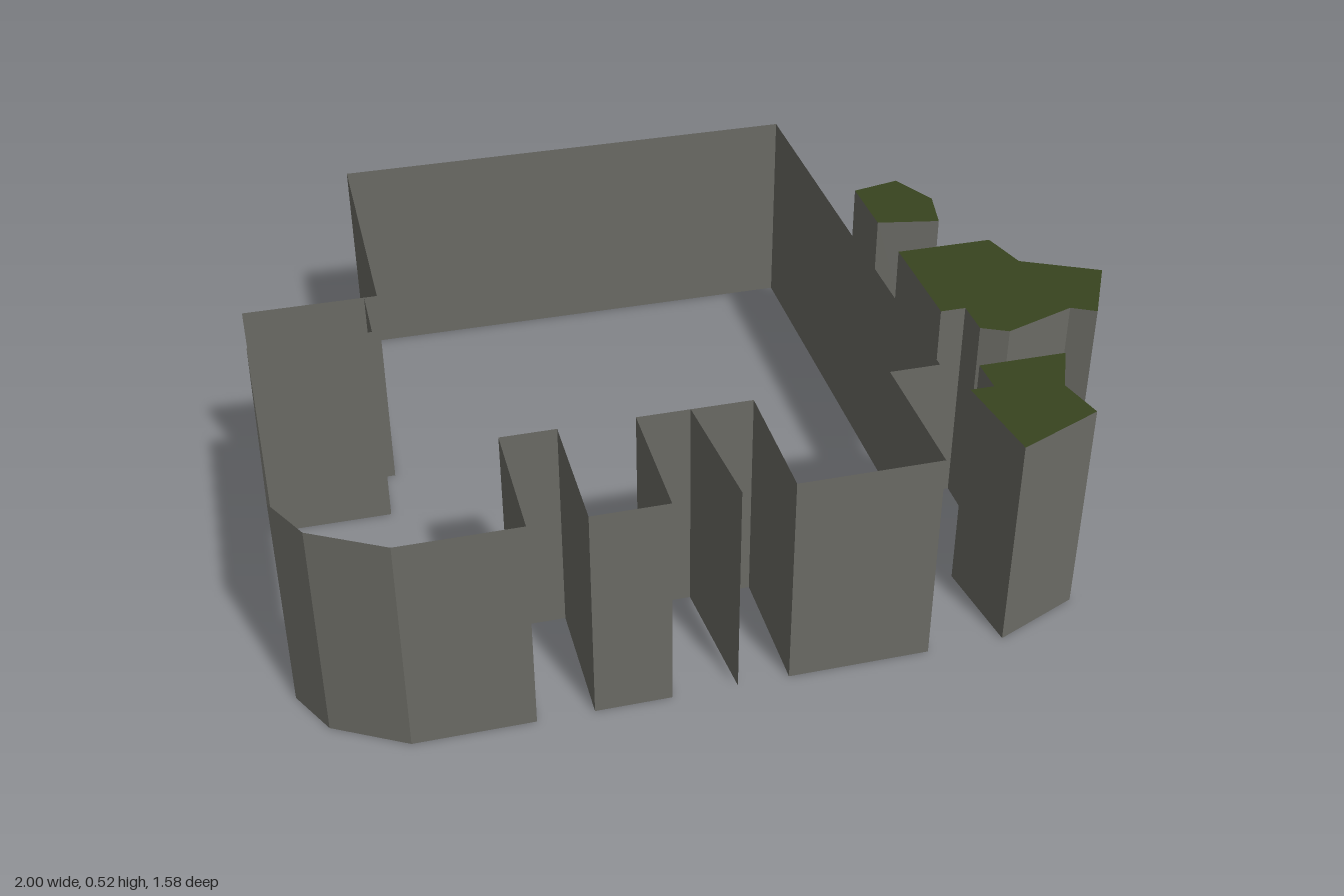
import * as THREE from 'three';

const HEIGHT = 0.52;

// Thin upright walls following a ground plan of [x, z] points
function wallGeometry(points, closed) {
  const plan = closed ? [...points, points[0]] : points;
  const positions = [];
  for (let i = 0; i < plan.length - 1; i++) {
    const [ax, az] = plan[i];
    const [bx, bz] = plan[i + 1];
    positions.push(ax, 0, az, bx, 0, bz, bx, HEIGHT, bz);
    positions.push(ax, 0, az, bx, HEIGHT, bz, ax, HEIGHT, az);
  }
  const geometry = new THREE.BufferGeometry();
  geometry.setAttribute('position', new THREE.Float32BufferAttribute(positions, 3));
  geometry.computeVertexNormals();
  return geometry;
}

// Flat, upward-facing top for a closed plan
function topGeometry(points) {
  const shape = new THREE.Shape(points.map(([x, z]) => new THREE.Vector2(x, -z)));
  const geometry = new THREE.ShapeGeometry(shape);
  geometry.rotateX(-Math.PI / 2);
  geometry.translate(0, HEIGHT, 0);
  return geometry;
}

export function createModel() {
  const model = new THREE.Group();
  model.name = 'building';
  const stone = new THREE.MeshStandardMaterial({ color: 0x6a6a64, side: THREE.DoubleSide });
  stone.name = 'grey stone';
  const moss = new THREE.MeshStandardMaterial({ color: 0x38441f });
  moss.name = 'dark green';

  const add = (parent, name, geometry, material) => {
    const mesh = new THREE.Mesh(geometry, material);
    mesh.name = name;
    parent.add(mesh);
  };

  // Main wall: straight back and sides, niches along the front, rounded right corner
  add(model, 'mainWall', wallGeometry([
    [-0.72, -0.155], [-0.72, 0], [-1, 0], [-1, 0.59], [-0.94, 0.70], [-0.78, 0.79],
    [-0.515, 0.79], [-0.515, 0.48], [-0.39, 0.48], [-0.39, 0.79], [-0.22, 0.79],
    [-0.22, 0.48], [-0.10, 0.48], [0.04, 0.48], [0.04, 0.79], [0.36, 0.79],
    [0.36, 0.45], [0.477, 0.45], [0.477, -0.79], [-0.69, -0.79], [-0.69, -0.155],
  ], false), stone);

  // Screen wall projecting at the right side
  add(model, 'sideScreen', wallGeometry([[-0.69, -0.155], [-1, -0.155]], false), stone);

  // Slim fin dividing the middle niche
  add(model, 'frontFin', wallGeometry([[-0.10, 0.48], [-0.075, 0.79]], false), stone);

  // Separate angular blocks with green tops
  const blocks = {
    backBlock: [[0.56, -0.37], [0.68, -0.395], [0.735, -0.28], [0.71, -0.165], [0.56, -0.195]],
    middleBlock: [
      [0.56, -0.045], [0.795, -0.045], [0.825, 0.07], [1, 0.16], [0.91, 0.33],
      [0.855, 0.30], [0.68, 0.36], [0.62, 0.33], [0.62, 0.24], [0.56, 0.24],
    ],
    frontBlock: [
      [0.56, 0.475], [0.765, 0.475], [0.71, 0.595], [0.735, 0.705],
      [0.535, 0.79], [0.505, 0.56], [0.56, 0.56],
    ],
  };
  for (const [name, plan] of Object.entries(blocks)) {
    const block = new THREE.Group();
    block.name = name;
    add(block, name + 'Sides', wallGeometry(plan, true), stone);
    add(block, name + 'Top', topGeometry(plan), moss);
    model.add(block);
  }
  return model;
}
